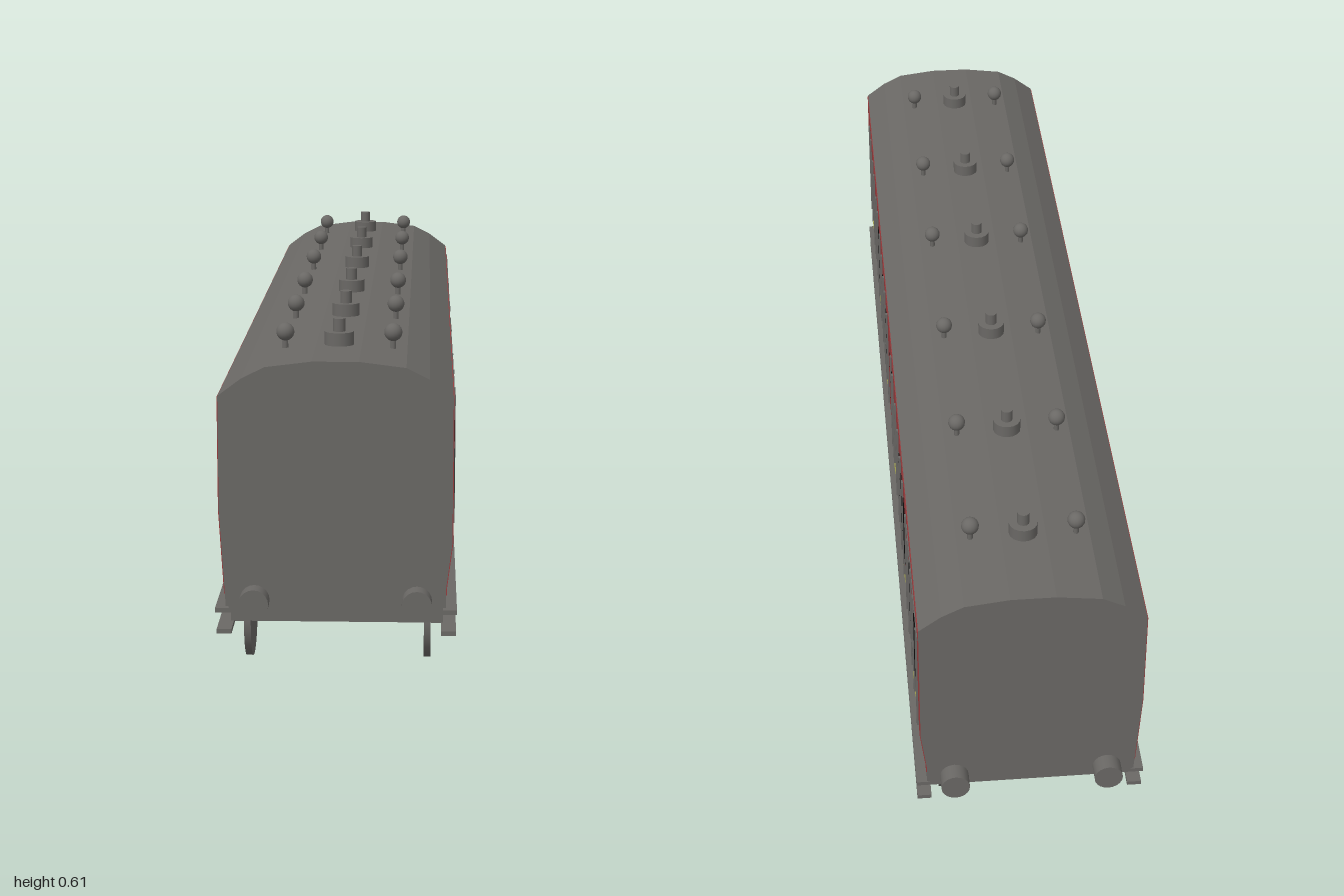
import * as THREE from 'three';

const mat = (name, color) => {
  const m = new THREE.MeshStandardMaterial({ color });
  m.name = name;
  return m;
};

export function createModel() {
  const root = new THREE.Group();
  root.name = 'railwayCoach';
  const grey = mat('grey', 0x6a6865);
  const red = mat('red', 0x983c3d);
  const black = mat('black', 0x0b0b0b);
  const gold = mat('gold', 0xb2b258);
  const HALF = 0.968;

  function add(name, geo, material, x = 0, y = 0, z = 0, parent = root) {
    const m = new THREE.Mesh(geo, material);
    m.name = name;
    m.position.set(x, y, z);
    parent.add(m);
    return m;
  }
  const box = (name, w, h, d, x, y, z, parent) =>
    add(name, new THREE.BoxGeometry(w, h, d), grey, x, y, z, parent);

  // Prism along z, centred on z
  function prism(name, pts, length, z, material) {
    const shape = new THREE.Shape(pts.map(p => new THREE.Vector2(p[0], p[1])));
    const geo = new THREE.ExtrudeGeometry(shape, { depth: length, bevelEnabled: false });
    geo.translate(0, 0, -length / 2);
    return add(name, geo, material, 0, 0, z);
  }

  // Lower body side tapers inward
  const sideLine = {
    '1': [[0.19, 0.13], [0.19, 0.165], [0.2, 0.245], [0.2, 0.5]],
    '-1': [[0.19, 0.13], [0.192, 0.165], [0.2, 0.3], [0.2, 0.5]]
  };
  function skin(side, y) {
    const l = sideLine[side];
    for (let i = 1; i < l.length; i++) {
      if (y <= l[i][1]) {
        const t = (y - l[i - 1][1]) / (l[i][1] - l[i - 1][1]);
        return l[i - 1][0] + t * (l[i][0] - l[i - 1][0]);
      }
    }
    return 0.2;
  }
  // Thin plate that follows the body side
  function plate(name, side, y0, y1, z, width, depth, material) {
    const ys = [y0, ...sideLine[side].map(p => p[1]).filter(y => y > y0 && y < y1), y1];
    const outer = ys.map(y => [side * (skin(side, y) + depth), y]);
    const inner = ys.map(y => [side * (skin(side, y) - 0.002), y]).reverse();
    prism(name, outer.concat(inner), width, z, material);
  }

  // Body with arched roof
  const roof = [[0.16, 0.53], [0.12, 0.55], [0.04, 0.56], [-0.04, 0.56], [-0.12, 0.55], [-0.16, 0.53]];
  const left = sideLine['-1'].map(p => [-p[0], p[1]]).reverse();
  prism('body', [...sideLine['1'], ...roof, ...left], HALF * 2, 0, grey);

  // Painted sides and crests
  const crests = [0.785, 0.463, 0.147, -0.174, -0.505, -0.826];
  for (const side of [1, -1]) {
    plate('sidePanel', side, 0.152, 0.498, 0, HALF * 2 - 0.004, 0.0015, red);
    for (const z of crests) plate('crest', side, 0.21, 0.256, side * z, 0.036, 0.004, gold);
  }
  plate('cornerStrip', -1, 0.2, 0.48, -0.94, 0.008, 0.003, grey);

  // Windows, as z ranges
  const windows = [[0.783, 0.912], [0.382, 0.58], [0.184, 0.249], [0.05, 0.115],
    [-0.18, -0.05], [-0.59, -0.393], [-0.783, -0.72], [-0.917, -0.858]];
  for (const [a, b] of windows)
    plate('window', 1, 0.31, 0.444, (a + b) / 2, b - a, 0.003, black);

  // Door and window bars
  const bars = [0.848, 0.783, 0.682, 0.618, 0.516, 0.452, 0.356, 0.27, 0.184, 0.126, 0.04,
    -0.115, -0.18, -0.28, -0.366, -0.452, -0.527, -0.628, -0.698, -0.783, -0.853, -0.939];
  for (const z of bars) plate('sideBar', 1, 0.25, 0.48, z, 0.008, 0.005, grey);
  for (const z of [0.155, -0.818]) plate('doorRail', 1, 0.308, 0.316, z, 0.06, 0.004, grey);
  plate('topRail', 1, 0.475, 0.481, -0.81, 0.31, 0.003, grey);

  // Roof ventilators and lamps
  for (const z of [0.8, 0.485, 0.185, -0.16, -0.485, -0.79]) {
    add('ventBase', new THREE.CylinderGeometry(0.026, 0.026, 0.025, 16), grey, 0, 0.571, z);
    add('ventCap', new THREE.CylinderGeometry(0.011, 0.011, 0.025, 12), grey, 0, 0.594, z);
    for (const x of [-0.095, 0.095]) {
      add('lampStem', new THREE.CylinderGeometry(0.005, 0.005, 0.03, 8), grey, x, 0.56, z);
      add('lampGlobe', new THREE.SphereGeometry(0.016, 16, 12), grey, x, 0.582, z);
    }
  }

  // Underframe and footboards
  box('underframe', 0.37, 0.014, HALF * 2 - 0.004, 0, 0.125, 0);
  for (const s of [1, -1]) {
    box('upperFootboard', 0.028, 0.008, 1.93, s * 0.195, 0.121, 0);
    box('lowerFootboard', 0.026, 0.008, 1.91, s * 0.195, 0.079, -0.003);
    // Buffers at both ends
    for (const e of [1, -1]) {
      const buffer = add('buffer', new THREE.CylinderGeometry(0.026, 0.026, 0.04, 20), grey,
        s * 0.14, 0.142, e * 0.98);
      buffer.rotation.x = Math.PI / 2;
    }
  }

  // Bogies with wheels and axle boxes
  for (const z of [0.695, -0.69]) {
    const bogie = new THREE.Group();
    bogie.name = 'bogie';
    bogie.position.z = z;
    root.add(bogie);
    box('bogieFrame', 0.37, 0.032, 0.46, 0, 0.106, 0, bogie);
    for (const dz of [0.135, -0.135]) {
      for (const s of [1, -1]) {
        const wheel = add('wheel', new THREE.CylinderGeometry(0.08, 0.08, 0.012, 32), grey,
          s * 0.158, 0.08, dz, bogie);
        wheel.rotation.z = Math.PI / 2;
        box('axleBox', 0.02, 0.024, 0.05, s * 0.175, 0.079, dz, bogie);
        box('axleBoxCover', 0.018, 0.016, 0.03, s * 0.192, 0.074, dz, bogie);
      }
    }
  }
  return root;
}
